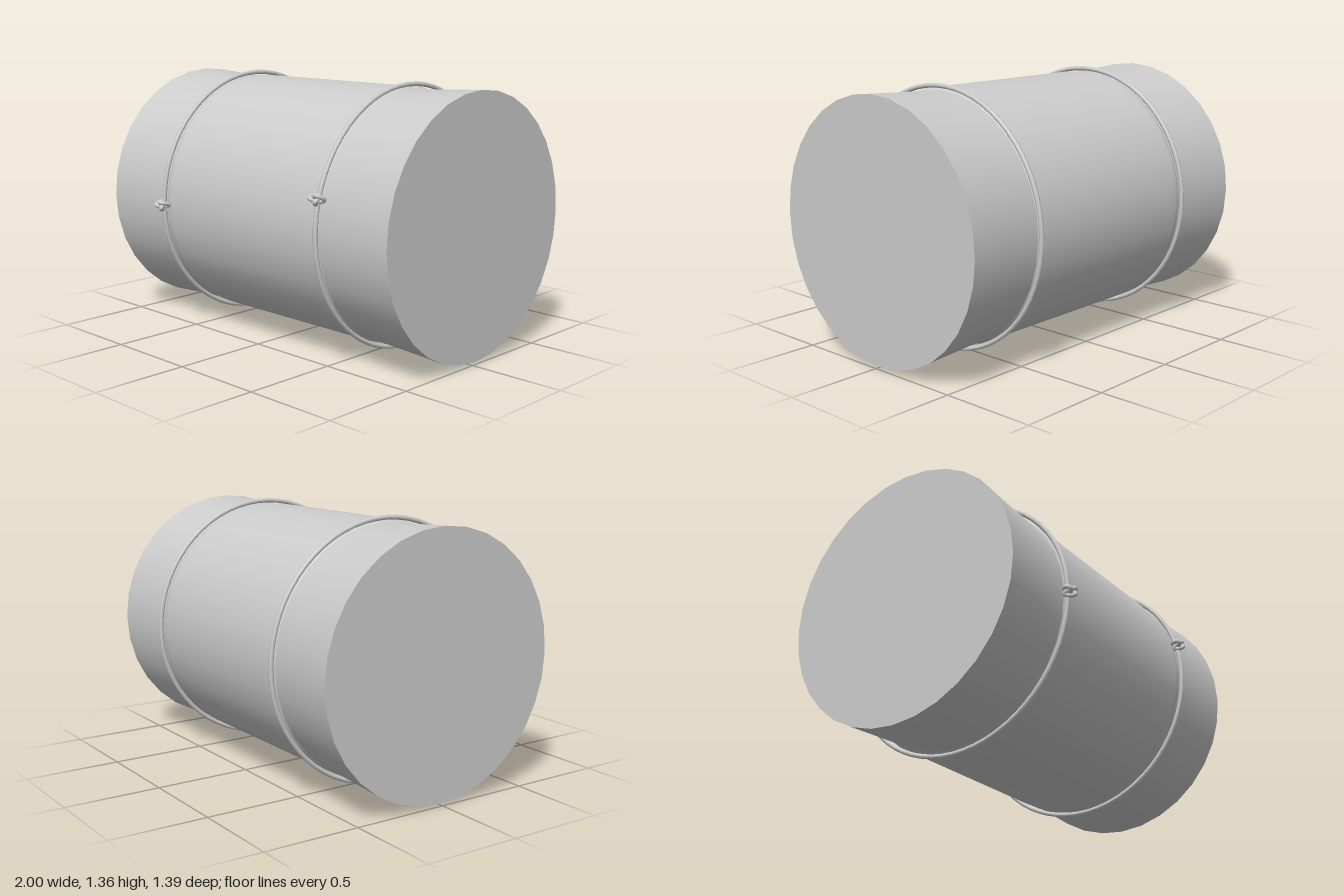
import * as THREE from 'three';

const SIDES = 32;

// Trefoil cord knot, wide along x and flat in depth
class KnotCurve extends THREE.Curve {
  getPoint(t, target = new THREE.Vector3()) {
    const a = t * Math.PI * 2;
    return target.set(
      0.0115 * (Math.sin(a) + 2 * Math.sin(2 * a)),
      0.0075 * (Math.cos(a) - 2 * Math.cos(2 * a)),
      -0.021 * Math.sin(3 * a)
    );
  }
}

export function createModel() {
  const model = new THREE.Group();
  model.name = 'tiedRoll';
  const grey = new THREE.MeshStandardMaterial({ color: 0xcccccc });
  grey.name = 'lightGrey';

  // Everything is built around the roll's own axis, along x
  const roll = new THREE.Group();
  roll.name = 'roll';
  roll.position.set(0, 0.683, -0.019);
  model.add(roll);

  const add = (name, geometry, parent = roll) => {
    const mesh = new THREE.Mesh(geometry, grey);
    mesh.name = name;
    parent.add(mesh);
    return mesh;
  };

  // Profile of [x, radius] revolved around x
  const revolve = (profile) => new THREE.LatheGeometry(
    profile.map(([x, r]) => new THREE.Vector2(r, x)), SIDES
  ).rotateZ(-Math.PI / 2);

  // Middle cover, slightly thicker than the pinched roll
  add('middleSleeve', revolve([
    [-0.565, 0.64], [-0.555, 0.649], [-0.54, 0.653], [-0.52, 0.654],
    [0.52, 0.654], [0.54, 0.653], [0.555, 0.649], [0.565, 0.64]
  ]));

  // Flared ends with flat caps
  const flare = [[0.53, 0.643], [0.6, 0.644], [0.7, 0.648], [0.8, 0.653], [0.9, 0.658], [1, 0.664]];
  add('leftEnd', revolve(flare));
  add('rightEnd', revolve(flare.map(([x, r]) => [-x, r]).reverse()));
  for (const side of [1, -1]) {
    const cap = new THREE.CircleGeometry(0.664, SIDES).rotateY(side * Math.PI / 2);
    add(side > 0 ? 'leftCap' : 'rightCap', cap.translate(side, 0, 0));
  }

  // Cord ties, each with a knot at its own angle
  const knotGeometry = new THREE.TubeGeometry(new KnotCurve(), 72, 0.0115, 8, true);
  for (const [name, x, angle] of [['leftTie', 0.563, -0.26], ['rightTie', -0.563, 0]]) {
    const tie = new THREE.Group();
    tie.name = name;
    tie.position.x = x;
    tie.rotation.x = angle;
    roll.add(tie);
    add('cord', new THREE.TorusGeometry(0.666, 0.012, 8, 64).rotateY(Math.PI / 2), tie);
    add('knot', knotGeometry, tie).position.z = 0.679;
  }

  return model;
}
